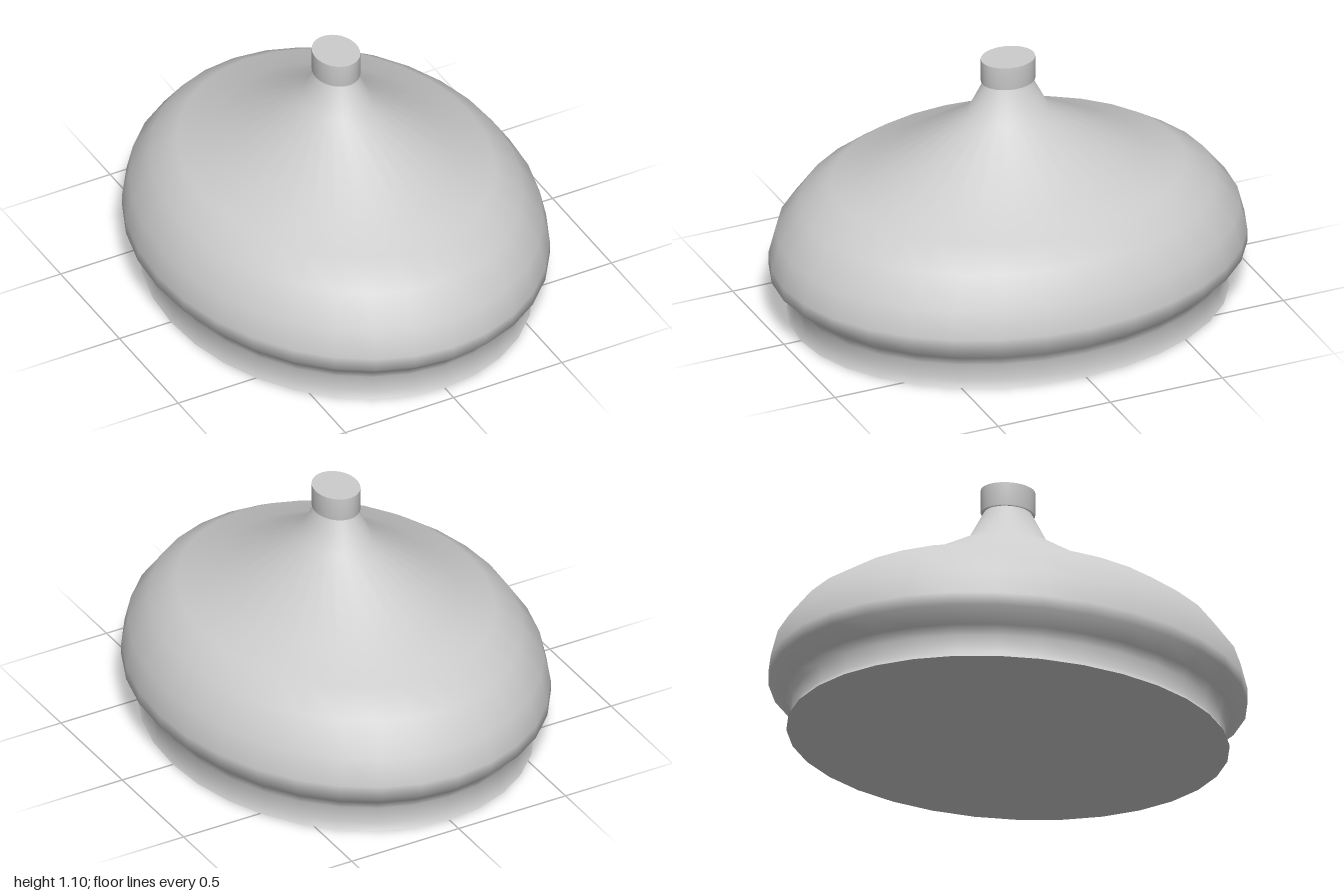
import * as THREE from 'three';

const SIDES = 32;
const X_SCALE = 0.825; // the plan is an ellipse, longer along z

export function createModel() {
  const group = new THREE.Group();
  const material = new THREE.MeshStandardMaterial({ color: 0xcccccc });

  // Revolve a profile of [radius, height] pairs, then squeeze it into an ellipse
  function addLathe(name, profile) {
    const points = profile.map(([r, y]) => new THREE.Vector2(r, y));
    const geometry = new THREE.LatheGeometry(points, SIDES);
    geometry.scale(X_SCALE, 1, 1);
    const mesh = new THREE.Mesh(geometry, material);
    mesh.name = name;
    group.add(mesh);
  }

  // Flat underside
  addLathe('underside', [[0, 0], [0.925, 0]]);

  // Flared foot, waist, bulging rim, sloping roof and neck
  addLathe('body', [
    [0.925, 0], [0.905, 0.03], [0.909, 0.1], [0.931, 0.14],
    [1, 0.2], [1, 0.255], [0.97, 0.37], [0.872, 0.495],
    [0.744, 0.578], [0.578, 0.627], [0.171, 0.865], [0.1, 1],
  ]);

  // Short knob with a flat top
  addLathe('knob', [[0.1, 1], [0.114, 1], [0.114, 1.1]]);
  addLathe('knobTop', [[0.114, 1.1], [0, 1.1]]);

  return group;
}
